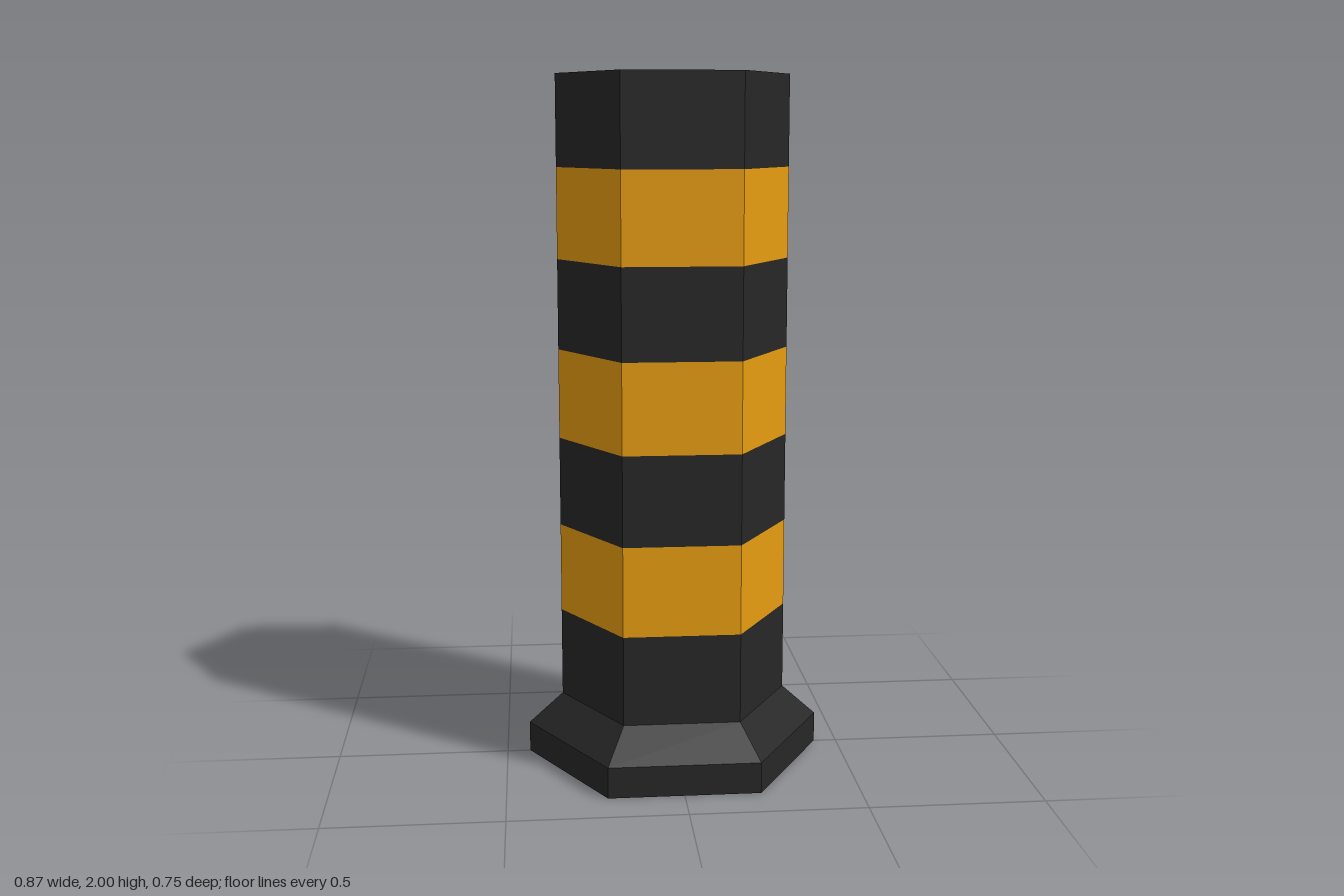
import * as THREE from 'three';

const SIDES = 6;
const POST_RADIUS = 0.333;
const BASE_RADIUS = 0.433;

export function createModel() {
  const black = new THREE.MeshStandardMaterial({ name: 'black', color: 0x272727, flatShading: true });
  const amber = new THREE.MeshStandardMaterial({ name: 'amber', color: 0xe89d12, flatShading: true });
  const model = new THREE.Group();
  model.name = 'bollard';

  // Open hexagonal ring with corners on the x axis
  function ring(name, bottomRadius, topRadius, y0, y1, material) {
    const geometry = new THREE.CylinderGeometry(topRadius, bottomRadius, y1 - y0, SIDES, 1, true);
    geometry.rotateY(Math.PI / 6);
    geometry.translate(0, (y0 + y1) / 2, 0);
    const mesh = new THREE.Mesh(geometry, material);
    mesh.name = name;
    model.add(mesh);
  }

  // Flat hexagonal cap, facing up or down
  function cap(name, radius, y, up) {
    const geometry = new THREE.CircleGeometry(radius, SIDES);
    geometry.rotateX(up ? -Math.PI / 2 : Math.PI / 2);
    geometry.translate(0, y, 0);
    const mesh = new THREE.Mesh(geometry, black);
    mesh.name = name;
    model.add(mesh);
  }

  // Foot with sloped shoulder
  cap('baseUnderside', BASE_RADIUS, 0, false);
  ring('baseSkirt', BASE_RADIUS, BASE_RADIUS, 0, 0.09, black);
  ring('baseSlope', BASE_RADIUS, POST_RADIUS, 0.09, 0.18, black);

  // Post in seven equal bands of alternating colour
  const bands = 7;
  const step = (2 - 0.18) / bands;
  for (let i = 0; i < bands; i++) {
    const striped = i % 2 === 1;
    ring((striped ? 'stripe' : 'postBand') + (i + 1), POST_RADIUS, POST_RADIUS,
      0.18 + i * step, 0.18 + (i + 1) * step, striped ? amber : black);
  }
  cap('postTop', POST_RADIUS, 2, true);

  return model;
}
